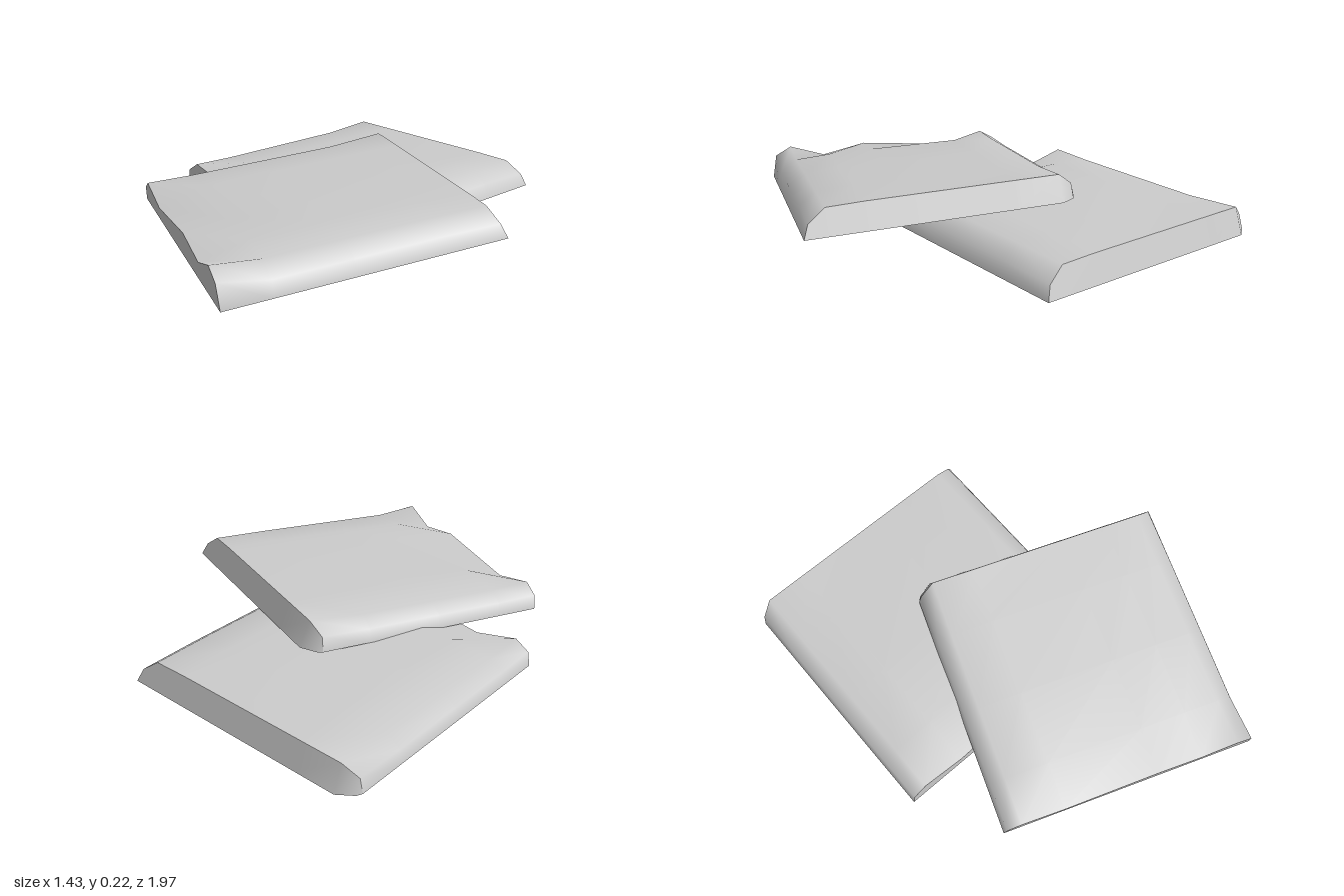
import * as THREE from 'three';

const material = new THREE.MeshStandardMaterial({ color: 0xcccccc, side: THREE.DoubleSide });

// Skin a list of rows, each holding the same number of [x, y, z] points.
function skin(name, rows) {
  const n = rows[0].length, index = [];
  for (let i = 0; i < rows.length - 1; i++) {
    for (let j = 0; j < n - 1; j++) {
      const a = i * n + j, b = a + n;
      index.push(a, a + 1, b + 1, a, b + 1, b);
    }
  }
  const geometry = new THREE.BufferGeometry();
  geometry.setAttribute('position', new THREE.Float32BufferAttribute(rows.flat(2), 3));
  geometry.setIndex(index);
  geometry.computeVertexNormals();
  const mesh = new THREE.Mesh(geometry, material);
  mesh.name = name;
  return mesh;
}

// Square slab: flat base, bevelled sides, one sloping end and one wavy end.
function createSlab(name) {
  const half = 0.505;
  const xs = [-half, -0.495, -0.44, -0.27, 0.1, 0.28, 0.42, 0.485, half];
  const raisedEnd = [0, 0.055, 0.1, 0.1, 0.1, 0.1, 0.097, 0.05, 0];
  const middle = [0, 0.05, 0.085, 0.1, 0.106, 0.106, 0.1, 0.055, 0];
  const wavyEnd = [0, 0.055, 0.09, 0.05, 0.1, 0.07, 0.122, 0.09, 0];
  const chamfer = [0.06, 0.04];

  const section = (z, heights) => xs.map((x, j) => [x, heights[j], z]);
  const start = xs.map((x, j) => [x, raisedEnd[j], -half + (chamfer[j] ?? 0) + 0.35 * raisedEnd[j]]);
  const end = section(half, wavyEnd);
  const rows = [start, section(-0.25, middle), section(0.05, middle), section(0.33, middle), end];
  const startBase = xs.map((x, j) => [x, 0, -half + (chamfer[j] ?? 0)]);
  const endBase = xs.map((x) => [x, 0, half]);

  const slab = new THREE.Group();
  slab.name = name;
  slab.add(
    skin('topSurface', rows.reverse()),
    skin('slopingEnd', [start, startBase]),
    skin('wavyEnd', [endBase, end]),
    skin('base', [startBase, endBase])
  );
  return slab;
}

export function createModel() {
  const model = new THREE.Group();
  model.name = 'stackedSlabs';

  // Lower slab lies flat at the back
  const lower = createSlab('lowerSlab');
  lower.position.set(-0.03, 0, -0.32);
  lower.rotation.y = -0.5;

  // Upper slab leans on it, tilted down towards the front
  const upper = createSlab('upperSlab');
  upper.position.set(0, 0.065, 0.29);
  upper.rotation.set(0.084, -0.85, 0.04, 'XZY');

  model.add(lower, upper);
  return model;
}
